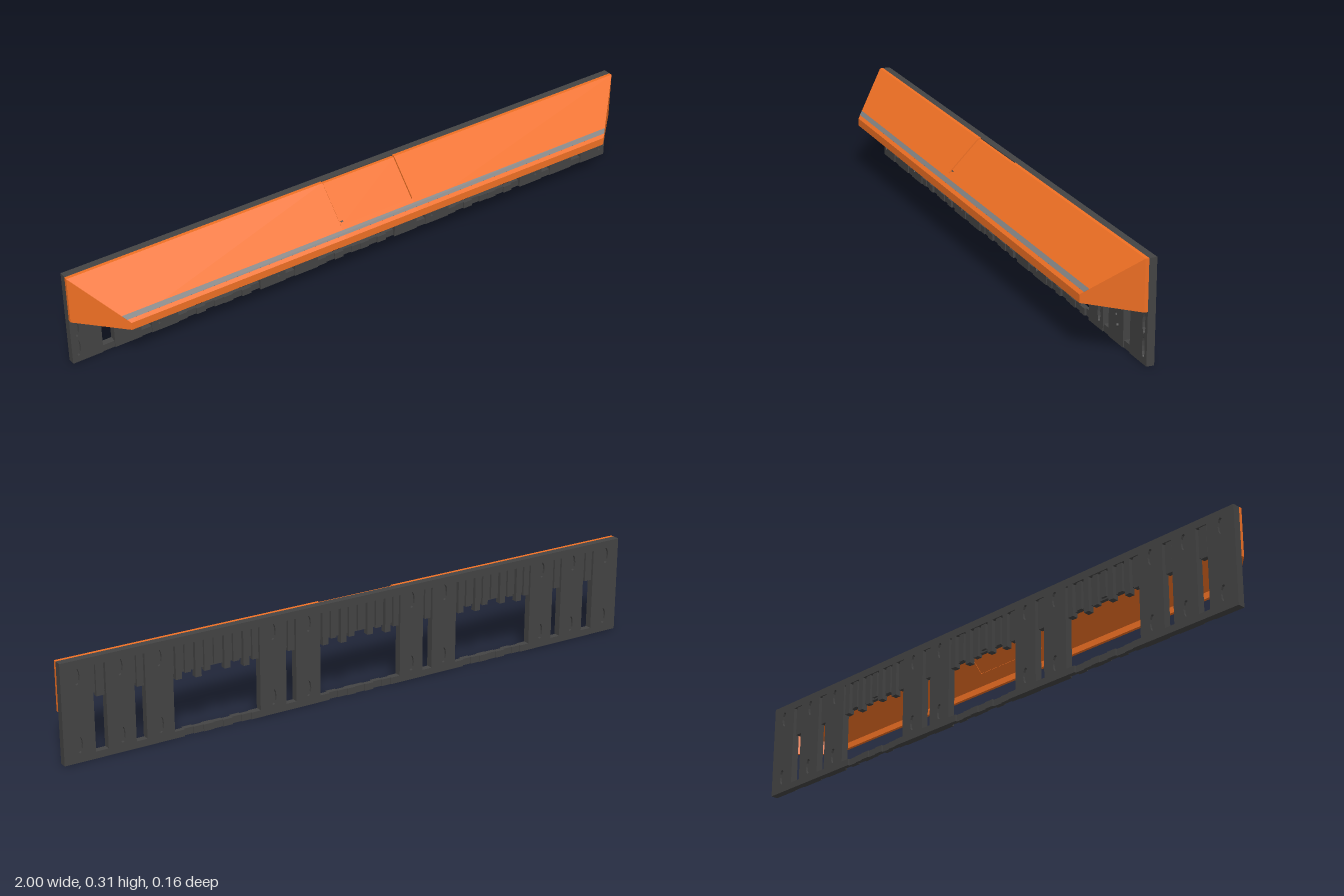
import * as THREE from 'three';

const ORANGE = new THREE.MeshStandardMaterial({ color: 0xf07024 });
const DARK = new THREE.MeshStandardMaterial({ color: 0x444444 });
const GREY = new THREE.MeshStandardMaterial({ color: 0x808080 });

const BACK = -0.082, FRONT = -0.058;
// half width of the hood at depth z: the ends are mitred at 45 degrees
const halfWidth = (z) => 1 - Math.max(0, z + 0.047);

function add(parent, name, geometry, material) {
  const mesh = new THREE.Mesh(geometry, material);
  mesh.name = name;
  parent.add(mesh);
  return mesh;
}

function box(parent, name, x0, x1, y0, y1, z0, z1, material = DARK) {
  const mesh = add(parent, name, new THREE.BoxGeometry(x1 - x0, y1 - y0, z1 - z0), material);
  mesh.position.set((x0 + x1) / 2, (y0 + y1) / 2, (z0 + z1) / 2);
  return mesh;
}

// sweep a (z, y) profile along x between two limits that may depend on z
function sweep(profile, lo, hi) {
  const shape = new THREE.Shape(profile.map(([z, y]) => new THREE.Vector2(z, y)));
  const g = new THREE.ExtrudeGeometry(shape, { depth: 1, bevelEnabled: false });
  const p = g.attributes.position;
  for (let i = 0; i < p.count; i++) {
    const z = p.getX(i), t = p.getZ(i);
    p.setXYZ(i, hi(z) + (lo(z) - hi(z)) * t, p.getY(i), z);
  }
  g.computeVertexNormals();
  return g;
}

// rectangular plate with oval slots, extruded from z0 to z1
function slottedPlate(x0, x1, y0, y1, z0, z1, slots) {
  const s = new THREE.Shape();
  s.moveTo(x0, y0).lineTo(x1, y0).lineTo(x1, y1).lineTo(x0, y1).closePath();
  for (const [x, y, rx, ry] of slots) {
    const h = new THREE.Path();
    h.absellipse(x, y, rx, ry, 0, Math.PI * 2, true);
    s.holes.push(h);
  }
  const g = new THREE.ExtrudeGeometry(s, { depth: z1 - z0, bevelEnabled: false, curveSegments: 6 });
  return g.translate(0, 0, z0);
}

function buildHood() {
  const hood = new THREE.Group();
  hood.name = 'hood';
  const full = [[FRONT, 0.315], [FRONT, 0.304], [-0.051, 0.304], [-0.047, 0.3], [0.073, 0.18],
    [0.073, 0.16], [0.083, 0.16], [0.083, 0.185], [-0.047, 0.315]];
  // roof on both sides of the hatch
  add(hood, 'roofLeft', sweep(full, () => 0.132, halfWidth), ORANGE);
  add(hood, 'roofRight', sweep(full, (z) => -halfWidth(z), () => -0.132), ORANGE);
  // roof and lip below the hatch
  const lower = [[0.053, 0.215], [0.046, 0.207], [0.073, 0.18], [0.073, 0.16], [0.083, 0.16], [0.083, 0.185]];
  add(hood, 'roofBelowHatch', sweep(lower, () => -0.132, () => 0.132), ORANGE);
  // slightly sunken hatch in the middle
  const hatch = [[-0.062, 0.312], [-0.062, 0.302], [-0.05, 0.302], [0.045, 0.207], [0.051, 0.213], [-0.048, 0.312]];
  add(hood, 'hatch', sweep(hatch, () => -0.13, () => 0.13), ORANGE);
  // finger mark on the hatch
  const mark = box(hood, 'hatchMark', -0.126, -0.118, -0.002, 0.002, -0.002, 0.002, DARK);
  mark.position.set(-0.122, 0.222, 0.043);
  mark.rotation.x = -Math.PI / 4;
  // mitred end walls and their rear flanges
  const wall = [[-0.047, 0.16], [0.083, 0.16], [0.083, 0.185], [-0.047, 0.315]];
  const flange = [[FRONT, 0.16], [-0.047, 0.16], [-0.047, 0.315], [FRONT, 0.315]];
  const inner = (z) => halfWidth(z) - 0.012;
  for (const [name, profile] of [['endWall', wall], ['endFlange', flange]]) {
    add(hood, name + 'Left', sweep(profile, inner, halfWidth), ORANGE);
    add(hood, name + 'Right', sweep(profile, (z) => -halfWidth(z), (z) => -inner(z)), ORANGE);
  }
  // grey trim strip along the lower slope
  const strip = [[0.062, 0.204], [0.073, 0.193], [0.0745, 0.1945], [0.0635, 0.2055]];
  add(hood, 'trimStrip', sweep(strip, (z) => -halfWidth(z), halfWidth), GREY);
  return hood;
}

// upright with blind slots in its front and back skins
function buildColumn(x0, x1, frontSlots, backSlots) {
  const column = new THREE.Group();
  column.name = 'column';
  add(column, 'frontSkin', slottedPlate(x0, x1, 0, 0.315, -0.066, FRONT, frontSlots), DARK);
  box(column, 'core', x0, x1, 0, 0.315, -0.074, -0.066);
  add(column, 'backSkin', slottedPlate(x0, x1, 0, 0.315, BACK, -0.074, backSlots), DARK);
  return column;
}

// stretch of frame between two columns: ribbed upper wall and stepped bottom rail
function buildBay(x0, x1) {
  const bay = new THREE.Group();
  bay.name = 'bay';
  box(bay, 'upperWall', x0, x1, 0.2, 0.3, -0.07, FRONT);
  box(bay, 'topRail', x0, x1, 0.29, 0.315, BACK, FRONT);
  const n = Math.max(1, Math.round((x1 - x0) / 0.033));
  const step = (x1 - x0) / n;
  const drops = [0.19, 0.178, 0.198, 0.184, 0.205];
  const fronts = [-0.061, -0.065, -0.06, -0.067, -0.063];
  for (let i = 0; i < n; i++) {
    const a = x0 + i * step, k = i % 5;
    box(bay, 'rib', a + step * 0.1, a + step * 0.72, drops[k], 0.292, k % 2 ? BACK : -0.078, -0.062);
    box(bay, 'bottomRail', a, a + step, 0, 0.022, BACK + (k % 3) * 0.003, fronts[k]);
  }
  return bay;
}

export function createModel() {
  const model = new THREE.Group();
  model.name = 'hoodedPanel';
  model.add(buildHood());

  const frame = new THREE.Group();
  frame.name = 'backFrame';
  model.add(frame);

  // [inner x, outer x, front slot x or null]
  const columns = [[0.145, 0.23, null], [0.265, 0.355, 0.29], [0.645, 0.735, 0.71],
    [0.77, 0.86, null], [0.9, 1, 0.98]];
  const bays = [[0.23, 0.265], [0.355, 0.645], [0.735, 0.77], [0.86, 0.9]];
  for (const side of [1, -1]) {
    const span = (a, b) => (side > 0 ? [a, b] : [-b, -a]);
    for (const [a, b, sx] of columns) {
      const mid = side * (a + b) / 2;
      const front = sx
        ? [0.05, 0.12].map((y) => [side * sx, y, 0.009, 0.03])
        : [[mid, 0.085, 0.005, 0.005]];
      const back = [0.055, 0.265].map((y) => [mid, y, 0.01, 0.026]);
      frame.add(buildColumn(...span(a, b), front, back));
      // raised rear guide beside the slots
      if (!sx) {
        const peg = add(frame, 'peg', new THREE.CylinderGeometry(0.004, 0.006, 0.012, 10), DARK);
        peg.rotation.x = Math.PI / 2;
        peg.position.set(mid + side * 0.012, 0.056, FRONT);
      }
    }
    for (const [a, b] of bays) frame.add(buildBay(...span(a, b)));
  }
  frame.add(buildBay(-0.145, 0.145));
  return model;
}
